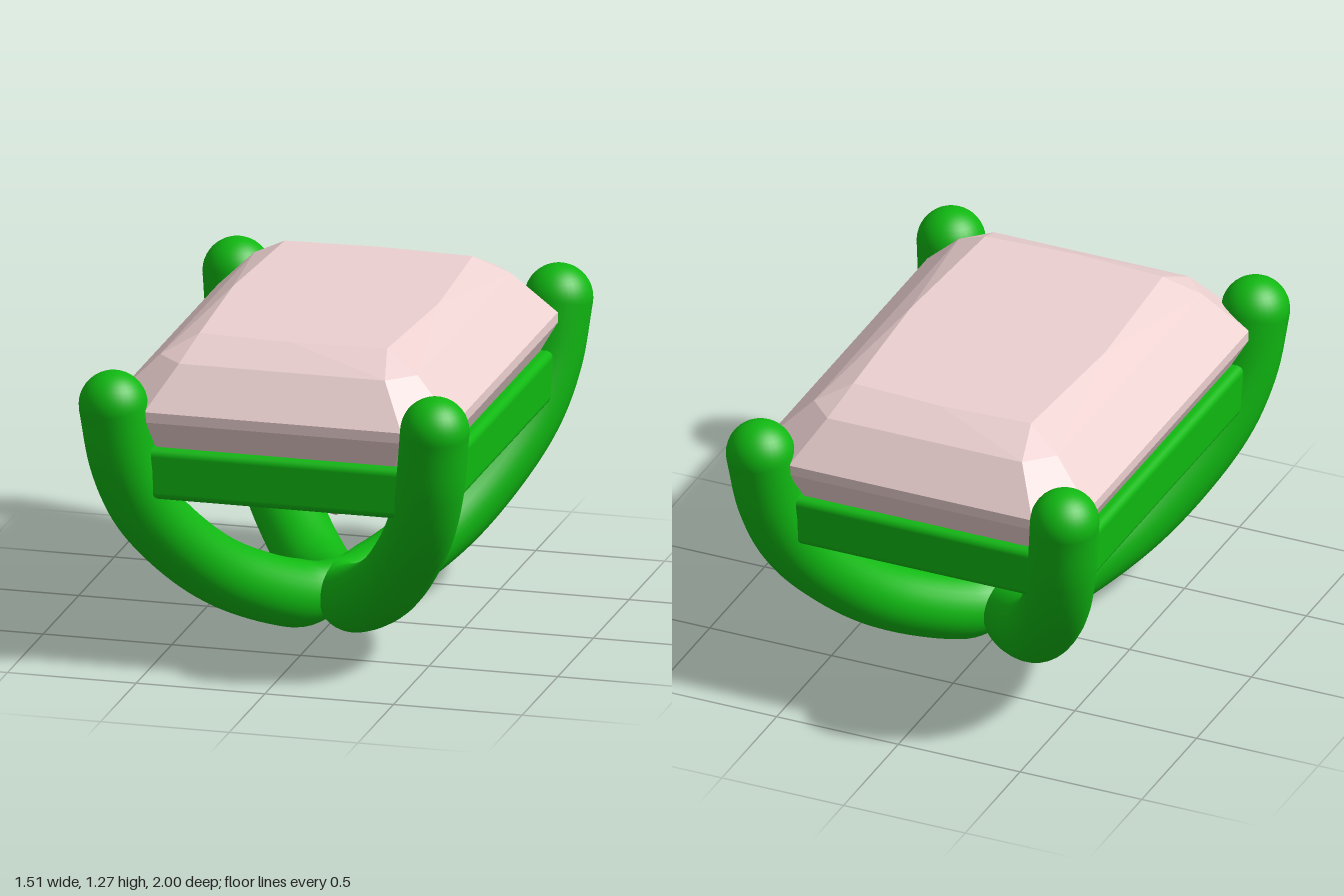
import * as THREE from 'three';
import { RoundedBoxGeometry } from 'three/addons/geometries/RoundedBoxGeometry.js';
import { ConvexGeometry } from 'three/addons/geometries/ConvexGeometry.js';

const metal = new THREE.MeshStandardMaterial({ color: 0x10b812 });
const stone = new THREE.MeshStandardMaterial({ color: 0xecd0d0, flatShading: true });
const RADIUS = 0.13;
const DEPTH_RATIO = 0.87 / 0.625; // prongs spread further in z than in x

function addMesh(parent, name, geometry, material) {
  const mesh = new THREE.Mesh(geometry, material);
  mesh.name = name;
  parent.add(mesh);
  return mesh;
}

// Rectangle with clipped corners at height y
function clippedRing(hx, hz, clip, y) {
  const points = [];
  for (const sx of [-1, 1]) {
    for (const sz of [-1, 1]) {
      points.push(new THREE.Vector3(sx * hx, y, sz * (hz - clip)));
      points.push(new THREE.Vector3(sx * (hx - clip), y, sz * hz));
    }
  }
  return points;
}

function createGem() {
  const points = [
    ...clippedRing(0.5, 0.76, 0.1, 1.2),    // shoulder
    ...clippedRing(0.66, 0.89, 0.16, 1.04), // girdle top
    ...clippedRing(0.66, 0.89, 0.16, 1.0),  // girdle bottom
    ...clippedRing(0.54, 0.79, 0.12, 0.785), // pavilion break
    new THREE.Vector3(0, 0.41, 0),          // culet
  ];
  // Table with slightly bowed sides
  for (const s of [-1, 1]) {
    points.push(new THREE.Vector3(s * 0.4, 1.275, 0), new THREE.Vector3(0, 1.275, s * 0.62));
    for (const t of [-1, 1]) points.push(new THREE.Vector3(s * 0.365, 1.275, t * 0.6));
  }
  return new ConvexGeometry(points);
}

// Curved prong along one diagonal, narrowing where the four meet
function createProng(sx, sz) {
  const profile = [
    [0, 0.14], [0.055, 0.132], [0.12, 0.145], [0.31, 0.285], [0.45, 0.466],
    [0.543, 0.643], [0.595, 0.826], [0.625, 1.055],
  ];
  const path = new THREE.CatmullRomCurve3(
    profile.map(([x, y]) => new THREE.Vector3(sx * x, y, sz * x * DEPTH_RATIO)), false, 'centripetal');
  const steps = 64, sides = 32;
  const geometry = new THREE.TubeGeometry(path, steps, RADIUS, sides);
  const position = geometry.attributes.position;
  const vertex = new THREE.Vector3();
  for (let i = 0; i <= steps; i++) {
    const centre = path.getPointAt(i / steps);
    const scale = THREE.MathUtils.lerp(0.78, 1, THREE.MathUtils.smoothstep(i / steps, 0, 0.13));
    for (let j = 0; j <= sides; j++) {
      const k = i * (sides + 1) + j;
      vertex.fromBufferAttribute(position, k).sub(centre).multiplyScalar(scale).add(centre);
      position.setXYZ(k, vertex.x, vertex.y, vertex.z);
    }
  }
  geometry.computeBoundingSphere();

  const prong = new THREE.Group();
  prong.name = 'prong';
  addMesh(prong, 'prongArm', geometry, metal);
  const tip = addMesh(prong, 'prongTip', new THREE.SphereGeometry(RADIUS, 32, 20), metal);
  tip.position.set(sx * 0.625, 1.055, sz * 0.87);
  return prong;
}

export function createModel() {
  const model = new THREE.Group();
  model.name = 'gemSetting';

  addMesh(model, 'gem', createGem(), stone);

  for (const sx of [-1, 1]) {
    for (const sz of [-1, 1]) model.add(createProng(sx, sz));
  }

  // Gallery rails joining the prongs
  for (const s of [-1, 1]) {
    addMesh(model, 'endRail', new RoundedBoxGeometry(1.16, 0.2, 0.17, 4, 0.03), metal)
      .position.set(0, 0.792, s * 0.79);
    addMesh(model, 'sideRail', new RoundedBoxGeometry(0.17, 0.2, 1.62, 4, 0.03), metal)
      .position.set(s * 0.56, 0.792, 0);
  }

  // Small hub filling the joint under the stone
  const hub = addMesh(model, 'hub', new THREE.SphereGeometry(0.1, 24, 16), metal);
  hub.position.y = 0.14;

  return model;
}
